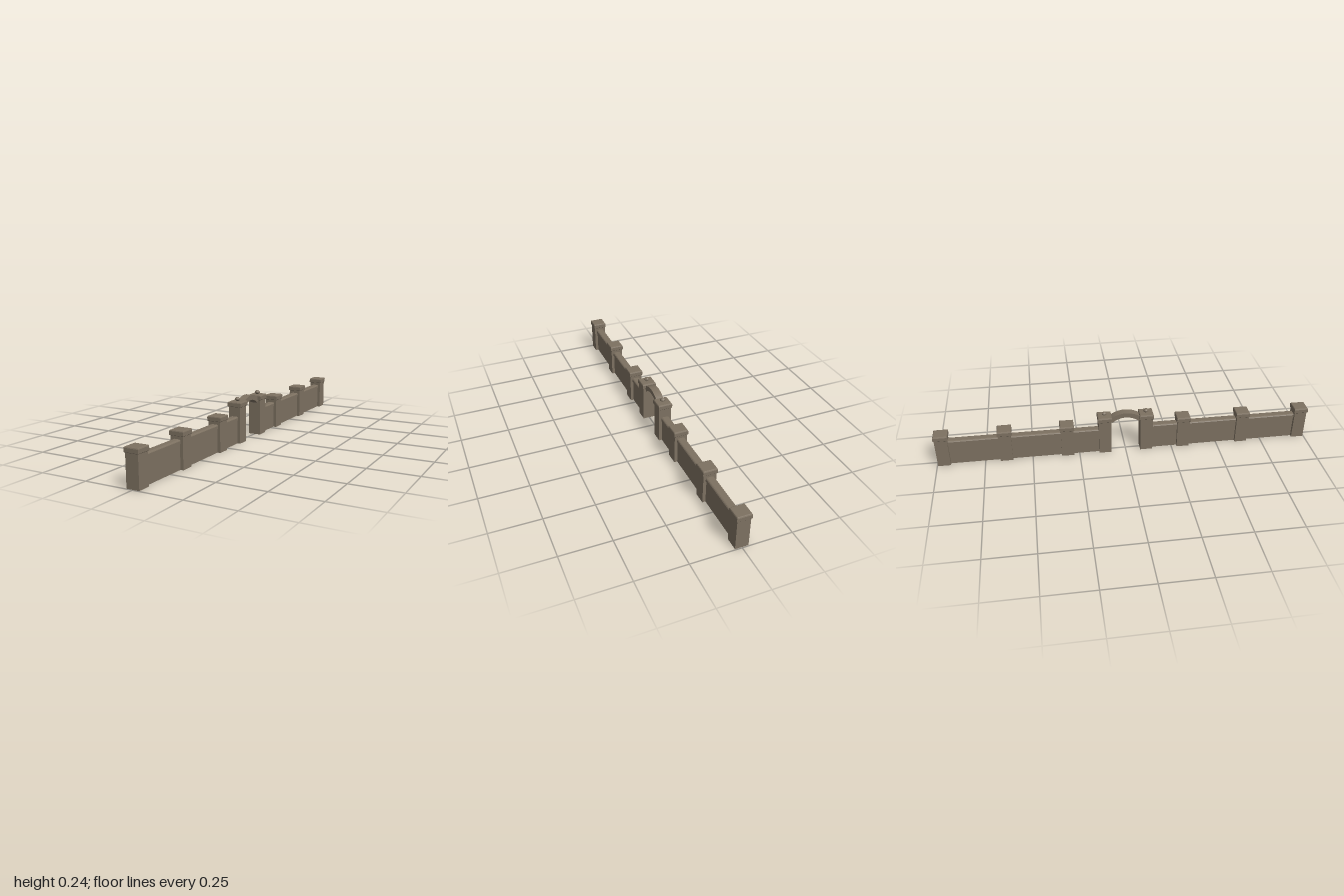
import * as THREE from 'three';

const stone = new THREE.MeshStandardMaterial({ color: 0x7d7161 });
stone.name = 'weathered stone';

function part(name, geometry, y = 0, z = 0) {
  const mesh = new THREE.Mesh(geometry, stone);
  mesh.name = name;
  mesh.position.set(0, y, z);
  return mesh;
}

// turned solid with flat facets; four sides give a square block
function turned(profile, sides) {
  const k = 1 / Math.cos(Math.PI / sides);
  const pts = profile.map(([r, y]) => new THREE.Vector2(r * k, y));
  const geo = new THREE.LatheGeometry(pts, sides).rotateY(Math.PI / sides).toNonIndexed();
  geo.computeVertexNormals();
  return geo;
}

// cross-section in x and y, run along z
function run(points, length) {
  const shape = new THREE.Shape(points.map(([x, y]) => new THREE.Vector2(x, y)));
  return new THREE.ExtrudeGeometry(shape, { depth: length, bevelEnabled: false }).translate(0, 0, -length / 2);
}

const capGeo = turned([[0, 0], [0.036, 0], [0.0375, 0.002], [0.0375, 0.02], [0.0355, 0.0245], [0.032, 0.026], [0, 0.026]], 4);
const ballGeo = turned([[0, 0], [0.006, 0], [0.006, 0.003], [0.0122, 0.0075], [0.0122, 0.0145], [0.006, 0.0215], [0, 0.0215]], 8);
const copingProfile = [[-0.021, 0], [0.021, 0], [0.021, 0.014], [0.018, 0.018], [0.013, 0.02],
  [-0.013, 0.02], [-0.018, 0.018], [-0.021, 0.014]];

function pillar(name, z, height) {
  const group = new THREE.Group();
  group.name = name;
  group.position.z = z;
  group.add(part('shaft', new THREE.BoxGeometry(0.066, height, 0.066), height / 2));
  group.add(part('cap', capGeo, height - 0.0005));
  return group;
}

function wall(z0, z1) {
  const length = Math.abs(z1 - z0) - 0.06;
  const group = new THREE.Group();
  group.name = 'wallBay';
  group.position.z = (z0 + z1) / 2;
  group.add(part('wallPanel', new THREE.BoxGeometry(0.034, 0.124, length), 0.062));
  group.add(part('coping', run(copingProfile, length), 0.122));
  return group;
}

// curved band spanning the gateway, its ends buried in the gate pillars
function arch() {
  const shape = new THREE.Shape();
  const a = 0.74;
  shape.absarc(0, 0, 0.13, Math.PI / 2 - a, Math.PI / 2 + a, false);
  shape.absarc(0, 0, 0.104, Math.PI / 2 + a, Math.PI / 2 - a, true);
  const geo = new THREE.ExtrudeGeometry(shape, { depth: 0.04, bevelEnabled: false, curveSegments: 10 });
  geo.translate(0, 0, -0.02).rotateY(Math.PI / 2);
  return part('gateArch', geo, 0.101);
}

export function createModel() {
  const model = new THREE.Group();
  model.name = 'gardenWall';
  const stations = [0.111, 0.312, 0.638, 0.9625];
  for (const side of [1, -1]) {
    stations.forEach((z, i) => {
      const gate = i === 0;
      const post = pillar(gate ? 'gatePillar' : 'wallPillar', side * z, gate ? 0.192 : 0.157);
      if (gate) post.add(part('finial', ballGeo, 0.2165));
      else model.add(wall(side * stations[i - 1], side * z));
      model.add(post);
    });
  }
  model.add(arch());
  return model;
}
